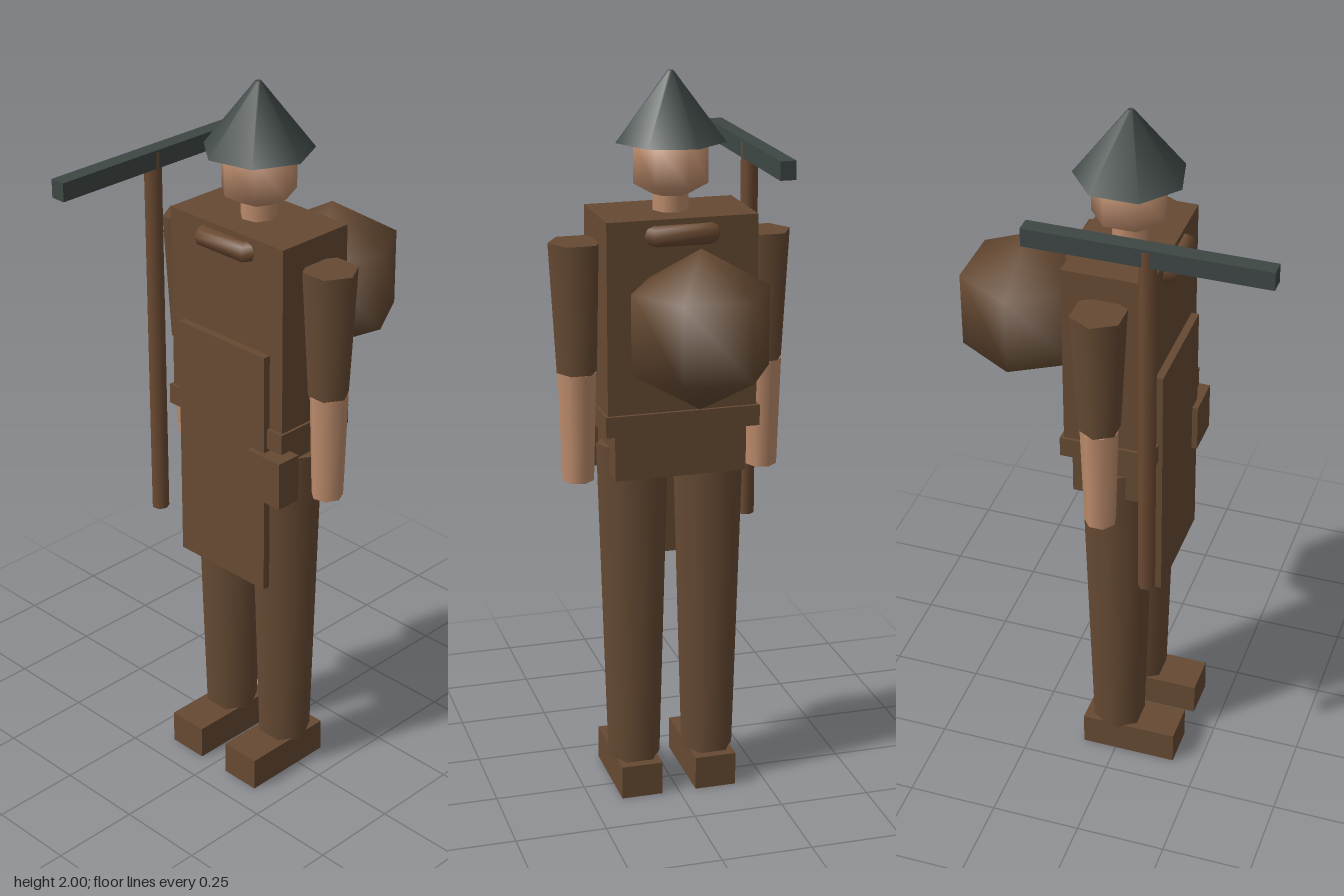
import * as THREE from 'three';

const material = (name, color) => {
  const m = new THREE.MeshStandardMaterial({ color });
  m.name = name;
  return m;
};

export function createModel() {
  const cloth = material('brown cloth', 0x664a33);
  const wood = material('brown wood', 0x6b4a32);
  const skin = material('skin', 0xbd8c6c);
  const metal = material('dark metal', 0x3e4745);

  const model = new THREE.Group();
  model.name = 'miner';
  const body = new THREE.Group();
  body.name = 'figure';
  body.position.z = -0.006;
  model.add(body);

  const add = (parent, name, geometry, mat, x, y, z) => {
    const mesh = new THREE.Mesh(geometry, mat);
    mesh.name = name;
    mesh.position.set(x, y, z);
    parent.add(mesh);
    return mesh;
  };
  const box = (w, h, d) => new THREE.BoxGeometry(w, h, d);
  // Low-sided tapered column with one corner on +x
  const column = (top, bottom, h, sides) =>
    new THREE.CylinderGeometry(top, bottom, h, sides, 1, false, Math.PI / 2);

  // Torso, hips and belt
  add(body, 'torso', box(0.405, 0.56, 0.234), cloth, 0, 1.36, 0);
  add(body, 'hips', box(0.36, 0.15, 0.205), cloth, 0, 1.015, 0);
  add(body, 'belt', box(0.42, 0.056, 0.253), cloth, 0, 1.098, 0);

  // Neck, head and conical hat
  add(body, 'neck', column(0.048, 0.048, 0.12, 7), skin, 0, 1.65, 0);
  const head = add(body, 'head', new THREE.SphereGeometry(0.115, 7, 3), skin, 0, 1.77, 0);
  head.rotation.y = Math.PI;
  add(body, 'hat', column(0.008, 0.147, 0.18, 7), metal, 0, 1.91, 0);

  // Scarf ring passing through the chest
  const scarf = add(body, 'scarf', new THREE.TorusGeometry(0.142, 0.028, 8, 6), wood, 0, 1.598, 0);
  scarf.rotation.x = Math.PI / 2;

  // Limbs on both sides
  for (const [side, s] of [['left', 1], ['right', -1]]) {
    add(body, side + 'Sleeve', column(0.074, 0.055, 0.35, 6), cloth, s * 0.255, 1.395, 0);
    add(body, side + 'Forearm', column(0.052, 0.043, 0.3, 7), skin, s * 0.256, 1.07, 0);
    add(body, side + 'Leg', column(0.1, 0.074, 0.925, 6), cloth, s * 0.106, 0.5525, 0);
    add(body, side + 'Boot', box(0.116, 0.095, 0.27), cloth, s * 0.106, 0.0475, 0.045);
  }

  // Apron, pouch and back sack
  add(body, 'apron', box(0.315, 0.695, 0.021), cloth, 0, 0.9875, 0.127);
  add(body, 'pouch', box(0.116, 0.135, 0.072), cloth, 0.17, 0.992, 0.117);
  add(body, 'sack', new THREE.SphereGeometry(0.21, 6, 3), cloth, 0, 1.388, -0.278);

  // Long-handled pick
  const pick = new THREE.Group();
  pick.name = 'pick';
  pick.position.set(-0.256, 0, 0.122);
  model.add(pick);
  add(pick, 'pickHandle', column(0.024, 0.024, 1.05, 7), wood, 0, 1.255, 0);
  add(pick, 'pickHead', box(0.043, 0.05, 0.638), metal, 0, 1.763, 0);

  return model;
}
